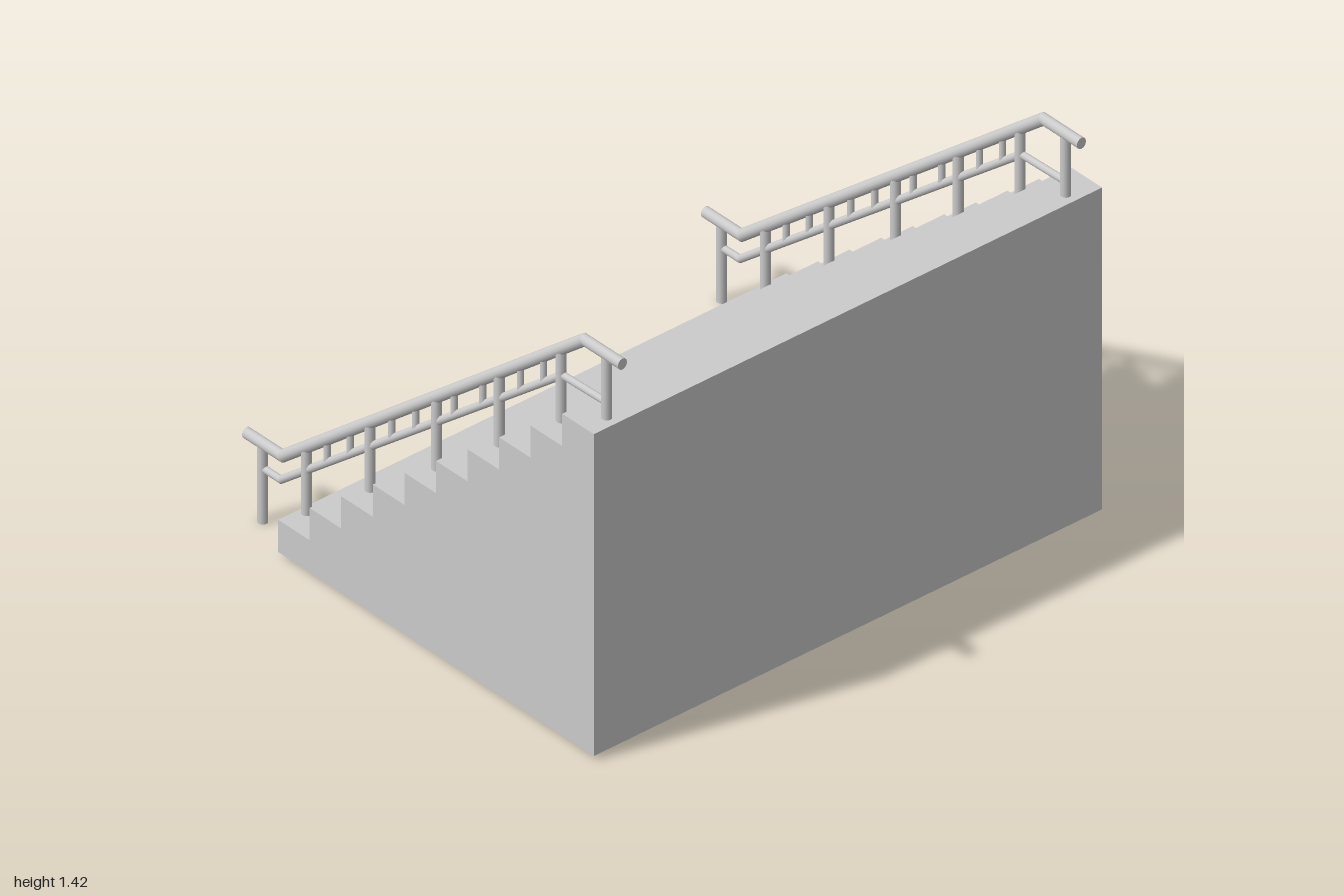
import * as THREE from 'three';

const material = new THREE.MeshStandardMaterial({ color: 0xcccccc });
const SIDES = 12;

function addMesh(parent, geometry, name) {
  const mesh = new THREE.Mesh(geometry, material);
  mesh.name = name;
  parent.add(mesh);
  return mesh;
}

// Round bar along a polyline in the xy plane, mitred at each bend
function addBar(parent, points, radius, name) {
  const angles = points.slice(1).map(([x, y], i) => Math.atan2(y - points[i][1], x - points[i][0]));
  const bar = new THREE.Group();
  bar.name = name;
  angles.forEach((angle, i) => {
    const [x0, y0] = points[i];
    const [x1, y1] = points[i + 1];
    const length = Math.hypot(x1 - x0, y1 - y0);
    const startMitre = i > 0 ? Math.tan((angle - angles[i - 1]) / 2) : 0;
    const endMitre = i < angles.length - 1 ? Math.tan((angles[i + 1] - angle) / 2) : 0;
    const geometry = new THREE.CylinderGeometry(radius, radius, length, SIDES);
    const pos = geometry.attributes.position;
    for (let v = 0; v < pos.count; v++) {
      const shift = pos.getY(v) > 0 ? endMitre : -startMitre;
      pos.setY(v, pos.getY(v) + pos.getX(v) * shift);
    }
    geometry.rotateZ(angle - Math.PI / 2);
    geometry.translate((x0 + x1) / 2, (y0 + y1) / 2, 0);
    addMesh(bar, geometry, name + 'Section');
  });
  parent.add(bar);
}

// Height of a polyline at x
function heightAt(points, x) {
  const i = Math.max(1, points.findIndex((p) => p[0] >= x));
  const [x0, y0] = points[i - 1];
  const [x1, y1] = points[i];
  return y0 + ((y1 - y0) * (x - x0)) / (x1 - x0);
}

function addUpright(parent, x, bottom, top, radius, name) {
  const geometry = new THREE.CylinderGeometry(radius, radius, top - bottom, SIDES);
  addMesh(parent, geometry, name).position.set(x, (top + bottom) / 2, 0);
}

// Solid flight of ten steps
function createSteps() {
  const steps = 10, left = -0.615, right = 0.825, base = 0.02;
  const run = (right - left) / steps, rise = (1.175 - base) / steps;
  const shape = new THREE.Shape();
  shape.moveTo(left, base);
  shape.lineTo(right, base);
  for (let i = steps; i > 0; i--) {
    shape.lineTo(left + run * i, base + rise * i);
    shape.lineTo(left + run * (i - 1), base + rise * i);
  }
  shape.closePath();
  const geometry = new THREE.ExtrudeGeometry(shape, { depth: 2, bevelEnabled: false });
  geometry.translate(0, 0, -1);
  // The block leans very slightly from side to side
  const pos = geometry.attributes.position;
  for (let v = 0; v < pos.count; v++) pos.setY(v, pos.getY(v) - 0.004 * pos.getZ(v));
  return geometry;
}

function createRailing(name) {
  const railing = new THREE.Group();
  railing.name = name;
  const handrail = [[-0.86, 0.282], [-0.695, 0.282], [0.682, 1.4], [0.855, 1.4]];
  const lowerRail = [[-0.787, 0.193], [-0.703, 0.193], [0.582, 1.222], [0.782, 1.227]];
  addBar(railing, handrail, 0.02, 'handrail');
  addBar(railing, lowerRail, 0.013, 'lowerRail');

  // Main posts: x and foot height
  const posts = [[-0.787, 0], [-0.587, 0.13], [-0.297, 0.361], [0.007, 0.59],
    [0.293, 0.823], [0.575, 1.052], [0.782, 1.167]];
  for (const [x, foot] of posts) addUpright(railing, x, foot, heightAt(handrail, x), 0.018, 'post');

  // Short balusters between the two rails
  for (const x of [-0.492, -0.387, -0.197, -0.088, 0.087, 0.218, 0.39, 0.495]) {
    addUpright(railing, x, heightAt(lowerRail, x), heightAt(handrail, x), 0.012, 'baluster');
  }
  railing.scale.z = 0.9;
  return railing;
}

export function createModel() {
  const model = new THREE.Group();
  model.name = 'staircase';
  addMesh(model, createSteps(), 'steps');
  const front = createRailing('frontRailing');
  front.position.z = 0.913;
  const back = createRailing('backRailing');
  back.position.z = -0.893;
  model.add(front, back);
  return model;
}
